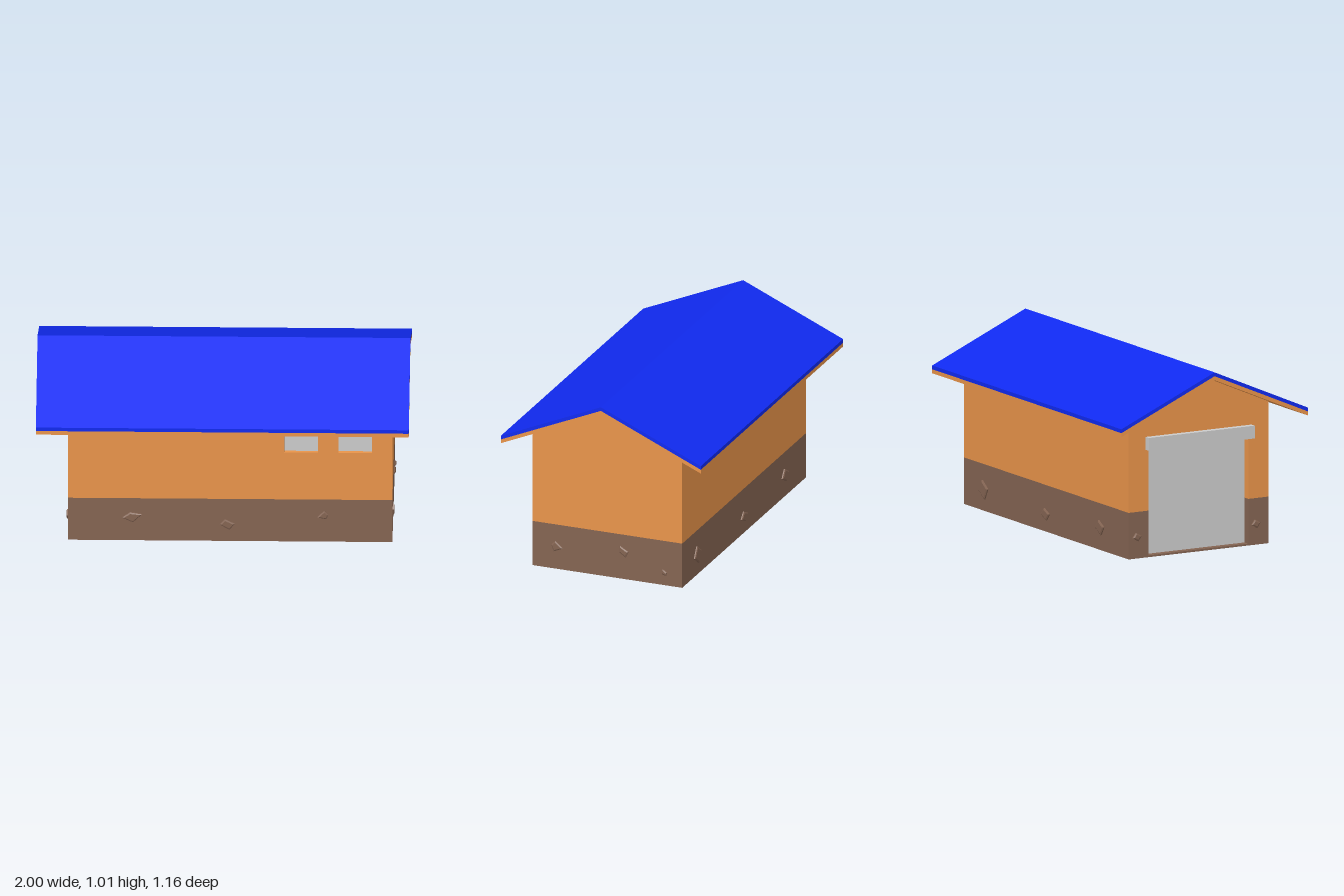
import * as THREE from 'three';

const WALL = 0xe9944a, BASE = 0x846452, ROOF = 0x102af0, GREY = 0xcccccc;
const X0 = -0.83, X1 = 0.91, ZH = 0.435;   // body extents
const T = 0.04;                            // wall thickness
const BASE_H = 0.255, EAVE = 0.777, APEX = 0.966;
const DOOR = 0.31, DOOR_TOP = 0.61;

const material = (color) => new THREE.MeshStandardMaterial({ color, flatShading: true });

function polygon(points) {
  return new THREE.Shape(points.map(([x, y]) => new THREE.Vector2(x, y)));
}

function rect(x0, x1, y0, y1) {
  return [[x0, y0], [x1, y0], [x1, y1], [x0, y1]];
}

function addMesh(parent, name, geometry, color) {
  const mesh = new THREE.Mesh(geometry, material(color));
  mesh.name = name;
  parent.add(mesh);
  return mesh;
}

// Slab whose outer face lies on the local z = 0 plane
function addSlab(parent, name, points, color, holes = [], depth = T) {
  const shape = polygon(points);
  holes.forEach((h) => shape.holes.push(polygon(h)));
  const geometry = new THREE.ExtrudeGeometry(shape, { depth, bevelEnabled: false });
  geometry.translate(0, 0, -depth);
  return addMesh(parent, name, geometry, color);
}

function addBox(parent, name, [x0, x1], [y0, y1], [z0, z1], color) {
  const geometry = new THREE.BoxGeometry(x1 - x0, y1 - y0, z1 - z0);
  geometry.translate((x0 + x1) / 2, (y0 + y1) / 2, (z0 + z1) / 2);
  return addMesh(parent, name, geometry, color);
}

// Bevelled stone standing slightly proud of a wall
function addStone(parent, points) {
  const geometry = new THREE.ExtrudeGeometry(polygon(points), {
    depth: 0.012, bevelEnabled: true, bevelSegments: 1,
    bevelThickness: 0.004, bevelSize: 0.007, bevelOffset: -0.007,
  });
  geometry.translate(0, 0, -0.006);
  addMesh(parent, 'stone', geometry, BASE);
}

// A side of the house: local +z faces outwards
function addSide(parent, name, x, z, turn) {
  const side = new THREE.Group();
  side.name = name;
  side.position.set(x, 0, z);
  side.rotation.y = turn;
  parent.add(side);
  return side;
}

// Chevron profile swept along the length of the roof
function addRoofLayer(parent, name, ridge, eave, thickness, color) {
  const h = 0.58;
  const shape = polygon([
    [-h, eave - thickness], [0, ridge - thickness], [h, eave - thickness],
    [h, eave], [0, ridge], [-h, eave],
  ]);
  const geometry = new THREE.ExtrudeGeometry(shape, { depth: 2, bevelEnabled: false });
  geometry.translate(0, 0, -1);
  geometry.rotateY(Math.PI / 2);
  addMesh(parent, name, geometry, color);
}

export function createModel() {
  const house = new THREE.Group();
  house.name = 'house';

  const front = addSide(house, 'frontSide', 0, ZH, 0);
  const back = addSide(house, 'backSide', 0, -ZH, Math.PI);
  const right = addSide(house, 'endSide', X1, 0, Math.PI / 2);
  const left = addSide(house, 'doorSide', X0, 0, -Math.PI / 2);

  // Long walls, with two recessed windows in the front
  const a = X0 + T, b = X1 - T;
  const windows = [rect(0.33, 0.51, 0.54, 0.642), rect(0.62, 0.8, 0.54, 0.645)];
  addSlab(front, 'frontWall', rect(a, b, BASE_H, EAVE), WALL, windows);
  addSlab(front, 'frontBase', rect(a, b, 0, BASE_H), BASE);
  windows.forEach((w) => {
    const pane = addSlab(front, 'windowPane', w, GREY, [], 0.015);
    pane.position.z = -0.02;
  });
  addSlab(back, 'backWall', rect(-b, -a, BASE_H, EAVE), WALL);
  addSlab(back, 'backBase', rect(-b, -a, 0, BASE_H), BASE);

  // Closed gable end
  addSlab(right, 'gableWall',
    [[-ZH, BASE_H], [ZH, BASE_H], [ZH, EAVE], [0, APEX], [-ZH, EAVE]], WALL);
  addSlab(right, 'gableBase', rect(-ZH, ZH, 0, BASE_H), BASE);

  // Gable end with the door opening
  addSlab(left, 'doorGableWall', [
    [-ZH, BASE_H], [-DOOR, BASE_H], [-DOOR, DOOR_TOP], [DOOR, DOOR_TOP],
    [DOOR, BASE_H], [ZH, BASE_H], [ZH, EAVE], [0, APEX], [-ZH, EAVE],
  ], WALL);
  addSlab(left, 'doorBase', rect(-ZH, -DOOR, 0, BASE_H), BASE);
  addSlab(left, 'doorBase', rect(DOOR, ZH, 0, BASE_H), BASE);
  const doorPanel = addSlab(left, 'rollerDoor', rect(-DOOR, DOOR, 0.01, DOOR_TOP + 0.02), GREY, [], 0.015);
  doorPanel.position.z = -T;
  addBox(left, 'rollerHousing', [-0.33, 0.33], [0.59, 0.66], [-0.005, 0.035], GREY);

  // Floor, closing the underside and forming the door sill
  addBox(house, 'floor', [X0, X1], [0, 0.01], [-ZH, ZH], BASE);

  // Stones set in the base; each list runs in the side's own coordinates
  const diamond = (x, y, w, h) => [
    [x - w, y - h * 0.15], [x - w * 0.25, y + h], [x + w, y + h * 0.2], [x + w * 0.3, y - h],
  ];
  const stones = [
    [front, [
      [[-0.54, 0.14], [-0.497, 0.171], [-0.433, 0.16], [-0.481, 0.112]],
      [[-0.016, 0.102], [0.011, 0.134], [0.064, 0.107], [0.037, 0.07]],
      [[0.508, 0.15], [0.545, 0.19], [0.567, 0.166], [0.556, 0.139]],
    ]],
    [right, [
      [[-0.323, 0.137], [-0.299, 0.162], [-0.255, 0.124], [-0.308, 0.1]],
      [[0.075, 0.19], [0.124, 0.162], [0.109, 0.128], [0.072, 0.152]],
      [[0.323, 0.093], [0.348, 0.075], [0.342, 0.056], [0.317, 0.065]],
    ]],
    [back, [
      diamond(-0.7, 0.115, 0.048, 0.052),
      diamond(-0.045, 0.095, 0.045, 0.032),
      diamond(0.53, 0.123, 0.045, 0.04),
    ]],
    [left, [diamond(-0.385, 0.118, 0.027, 0.024), diamond(0.355, 0.115, 0.027, 0.024)]],
  ];
  stones.forEach(([side, list]) => list.forEach((points) => addStone(side, points)));

  // Roof: timber underlay with the covering on top
  addRoofLayer(house, 'roofUnderlay', 0.988, 0.736, 0.022, WALL);
  addRoofLayer(house, 'roofCovering', 1.009, 0.757, 0.021, ROOF);

  return house;
}
